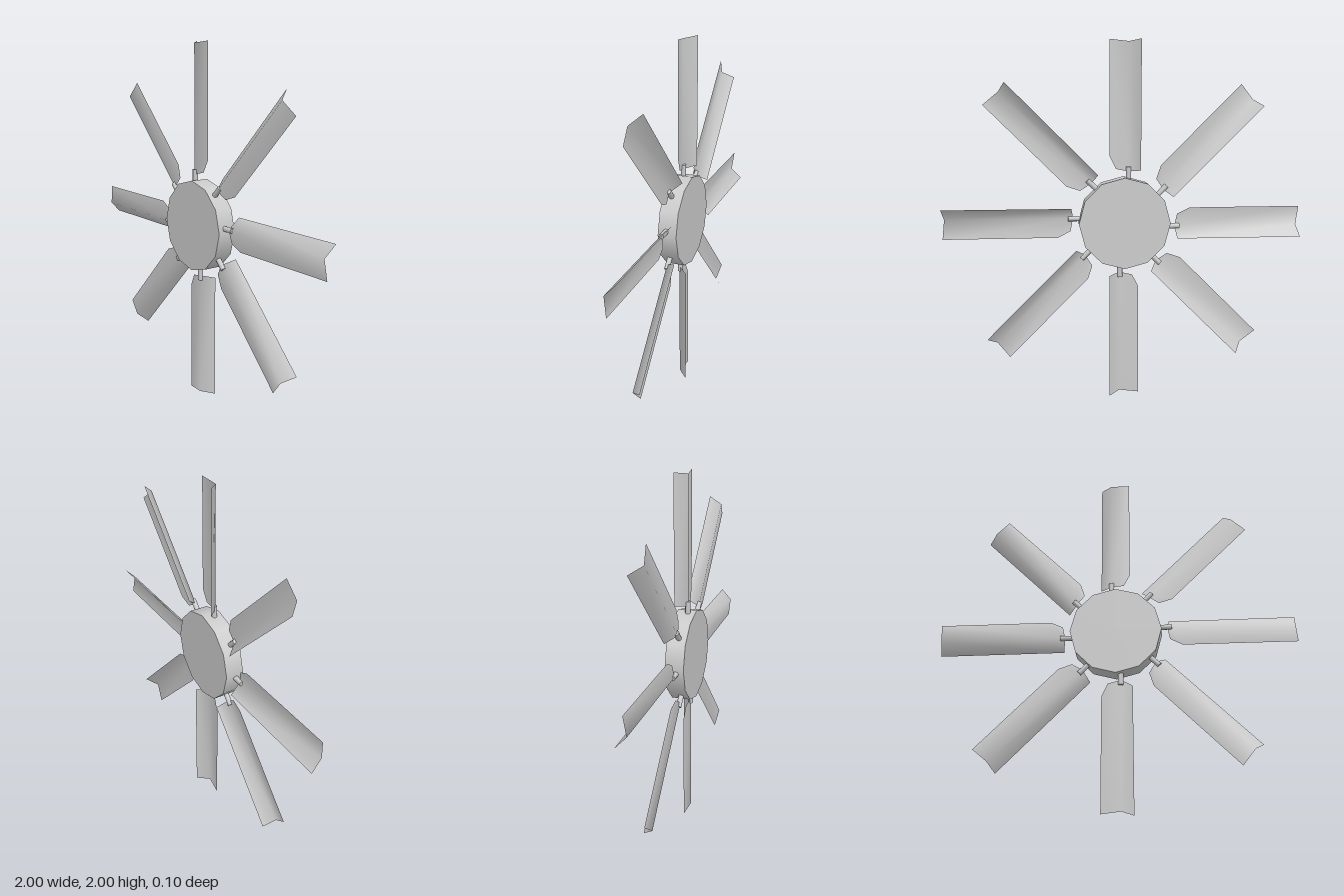
import * as THREE from 'three';

const BLADES = 8;

// Bent sheet blade pointing along +y, measured from the hub centre
function bladeGeometry() {
  const points = [
    [-0.088, 0.295, -0.048], // narrow flange, inner corner
    [-0.028, 0.285, 0.013],  // fold, inner end
    [0.045, 0.30, 0.004],    // chamfer start
    [0.08, 0.37, 0.0],       // chamfer end
    [0.08, 1.0, 0.0],        // wide face, tip
    [-0.028, 0.99, 0.013],   // fold, tip
    [-0.09, 1.0, -0.048],    // narrow flange, tip
  ];
  const geometry = new THREE.BufferGeometry();
  geometry.setAttribute('position', new THREE.Float32BufferAttribute(points.flat(), 3));
  geometry.setIndex([0, 1, 5, 0, 5, 6, 1, 2, 3, 1, 3, 4, 1, 4, 5]);
  geometry.computeVertexNormals();
  return geometry;
}

export function createModel() {
  const model = new THREE.Group();
  model.name = 'bladedWheel';
  const solid = new THREE.MeshStandardMaterial({ color: 0xcccccc });
  const sheet = new THREE.MeshStandardMaterial({ color: 0xcccccc, side: THREE.DoubleSide });

  // Twelve-sided hub with its axis along z
  const hub = new THREE.Mesh(new THREE.CylinderGeometry(0.255, 0.255, 0.104, 12), solid);
  hub.name = 'hub';
  hub.rotation.x = Math.PI / 2;
  hub.position.y = 1;
  model.add(hub);

  // Blades, each held by a short rod under its fold
  const blade = bladeGeometry();
  const rod = new THREE.CylinderGeometry(0.015, 0.015, 0.13, 8);
  for (let i = 0; i < BLADES; i++) {
    const arm = new THREE.Group();
    arm.name = `arm${i + 1}`;
    arm.position.y = 1;
    arm.rotation.z = (i / BLADES) * Math.PI * 2;

    const bladeMesh = new THREE.Mesh(blade, sheet);
    bladeMesh.name = 'blade';
    const rodMesh = new THREE.Mesh(rod, solid);
    rodMesh.name = 'rod';
    rodMesh.position.set(-0.025, 0.247, 0.009);
    arm.add(bladeMesh, rodMesh);
    model.add(arm);
  }
  return model;
}
